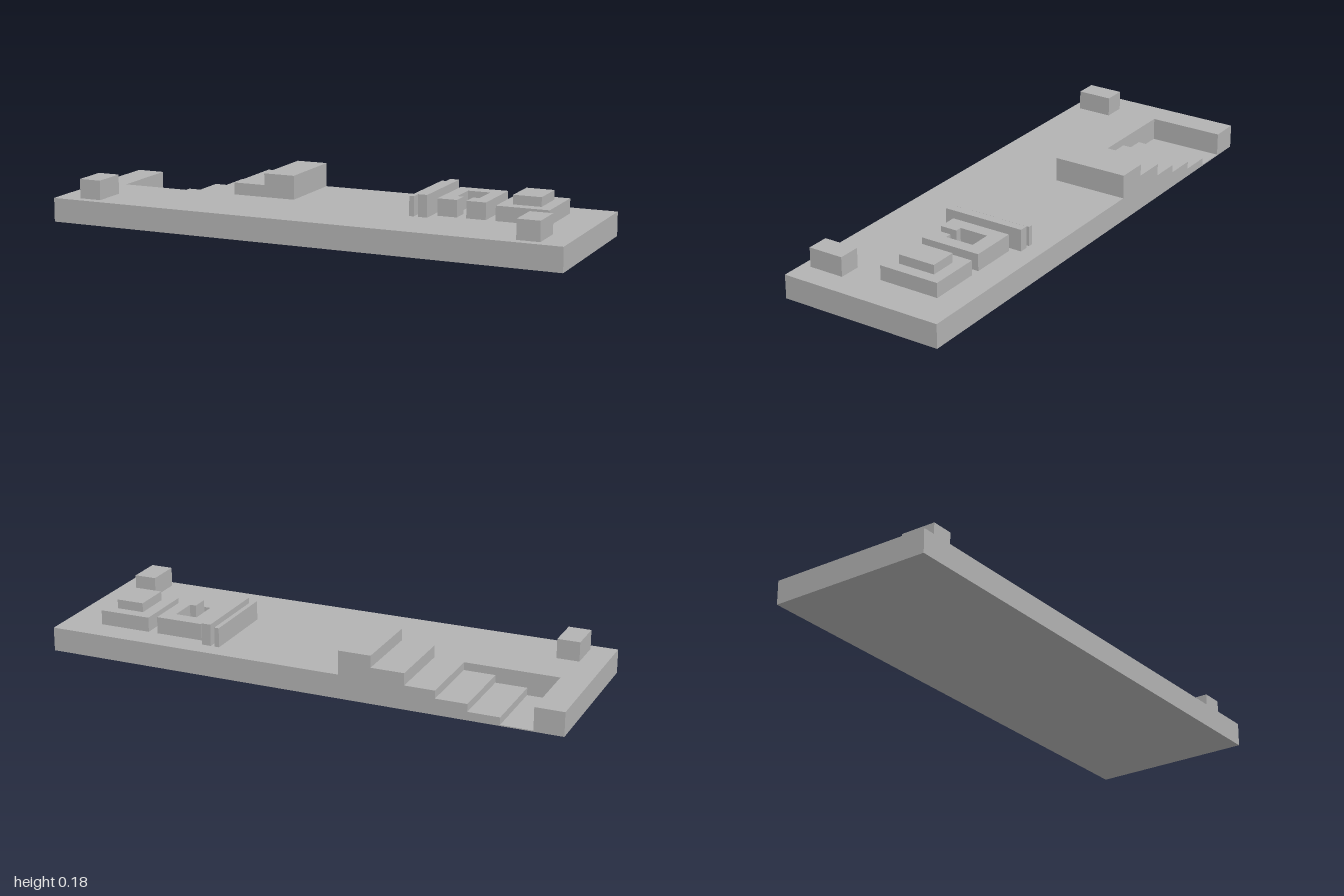
import * as THREE from 'three';

const TOP = 0.091; // deck height
const BACK = -0.318;

export function createModel() {
  const model = new THREE.Group();
  const grey = new THREE.MeshStandardMaterial({ color: 0xb2b2b2 });

  // Box given by its limits on each axis
  const block = (name, x0, x1, y0, y1, z0, z1) => {
    const mesh = new THREE.Mesh(new THREE.BoxGeometry(x1 - x0, y1 - y0, z1 - z0), grey);
    mesh.position.set((x0 + x1) / 2, (y0 + y1) / 2, (z0 + z1) / 2);
    mesh.name = name;
    model.add(mesh);
  };

  // Plan outline of [x, z] points raised from y0 to y1
  const raised = (name, plan, y0, y1) => {
    const shape = new THREE.Shape(plan.map(([x, z]) => new THREE.Vector2(x, -z)));
    const geometry = new THREE.ExtrudeGeometry(shape, { depth: y1 - y0, bevelEnabled: false });
    geometry.rotateX(-Math.PI / 2);
    const mesh = new THREE.Mesh(geometry, grey);
    mesh.position.y = y0;
    mesh.name = name;
    model.add(mesh);
  };

  // Slab with a stair pit cut into its back edge
  raised('slab', [
    [-1, 0.318], [1, 0.318], [1, BACK], [-0.53, BACK],
    [-0.53, -0.027], [-0.89, -0.027], [-0.89, BACK], [-1, BACK],
  ], 0, TOP);

  // Stairs: three treads in the pit, two above the deck
  const treads = [
    [-0.89, -0.77, 0, 0.004], [-0.77, -0.65, 0, 0.032], [-0.65, -0.53, 0, 0.061],
    [-0.415, -0.288, TOP, 0.137], [-0.288, -0.165, TOP, 0.182],
  ];
  for (const [x0, x1, y0, y1] of treads) block('stairTread', x0, x1, y0, y1, BACK, -0.025);

  // Corner blocks at the front
  for (const side of [-1, 1]) {
    const x = side * 0.863;
    block('cornerBlock', x - 0.043, x + 0.043, TOP, 0.165, 0.146, 0.283);
  }

  // Pair of upright bars
  block('narrowBar', 0.34, 0.358, TOP, 0.165, -0.25, 0.07);
  block('wideBar', 0.374, 0.409, TOP, 0.174, -0.25, 0.07);

  // Courtyard block, open to the front through a narrow passage
  raised('courtyardBlock', [
    [0.43, 0.023], [0.505, 0.023], [0.505, -0.044], [0.48, -0.044], [0.48, -0.156], [0.566, -0.156],
    [0.566, -0.044], [0.541, -0.044], [0.541, 0.023], [0.615, 0.023], [0.615, -0.213], [0.43, -0.213],
  ], TOP, 0.155);

  // Two-tier block
  block('lowerTier', 0.652, 0.852, TOP, 0.147, -0.213, 0.023);
  block('upperTier', 0.7, 0.807, 0.147, 0.182, -0.168, -0.023);

  return model;
}
